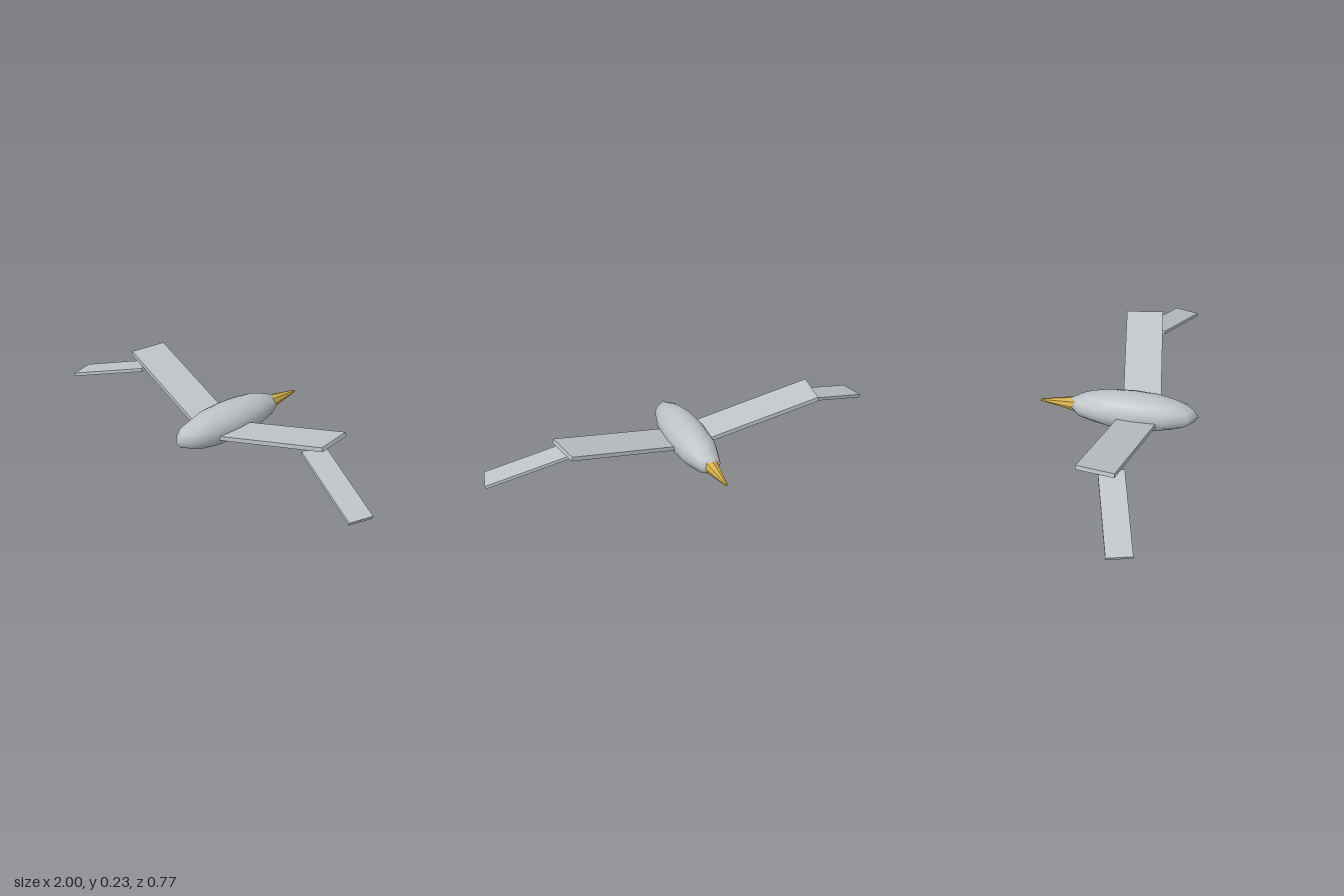
import * as THREE from 'three';

const grey = new THREE.MeshStandardMaterial({ color: 0xbec3c7 });
grey.name = 'pale grey';
const gold = new THREE.MeshStandardMaterial({ color: 0xd4af4a, flatShading: true });
gold.name = 'gold';

// Flat plank running from root to tip, its end edges kept level
function plank(name, root, tip, thickness, width) {
  const a = new THREE.Vector3(...root);
  const b = new THREE.Vector3(...tip);
  const d = b.clone().sub(a);
  const mesh = new THREE.Mesh(new THREE.BoxGeometry(d.length(), thickness, width), grey);
  mesh.name = name;
  mesh.position.copy(a).add(b).multiplyScalar(0.5);
  mesh.rotation.order = 'YZX';
  mesh.rotation.y = Math.atan2(-d.z, d.x);
  mesh.rotation.z = Math.atan2(d.y, Math.hypot(d.x, d.z));
  return mesh;
}

export function createModel() {
  const model = new THREE.Group();
  model.name = 'bird';

  // Body: stretched low-poly sphere with smooth normals
  const bodyGeometry = new THREE.SphereGeometry(1, 12, 8);
  bodyGeometry.scale(0.1, 0.0925, 0.32);
  const body = new THREE.Mesh(bodyGeometry, grey);
  body.name = 'body';
  body.position.set(0, 0.095, 0.065);
  model.add(body);

  // Beak: eight-sided blunt cone pointing to -z
  const beak = new THREE.Mesh(new THREE.CylinderGeometry(0.006, 0.036, 0.169, 8), gold);
  beak.name = 'beak';
  beak.rotation.x = -Math.PI / 2;
  beak.position.set(0, 0.095, -0.2985);
  model.add(beak);

  // Wings: rising inner panel and drooping outer panel on each side
  for (const [side, s] of [['left', 1], ['right', -1]]) {
    const wing = new THREE.Group();
    wing.name = side + 'Wing';
    const inner = plank('innerWing', [0.05 * s, 0.074, 0.102], [0.65 * s, 0.227, 0.012], 0.021, 0.183);
    const outer = plank('outerWing', [0.575 * s, 0.179, 0.071], [0.981 * s, 0.042, 0.184], 0.016, 0.121);
    wing.add(inner, outer);
    model.add(wing);
  }
  return model;
}
